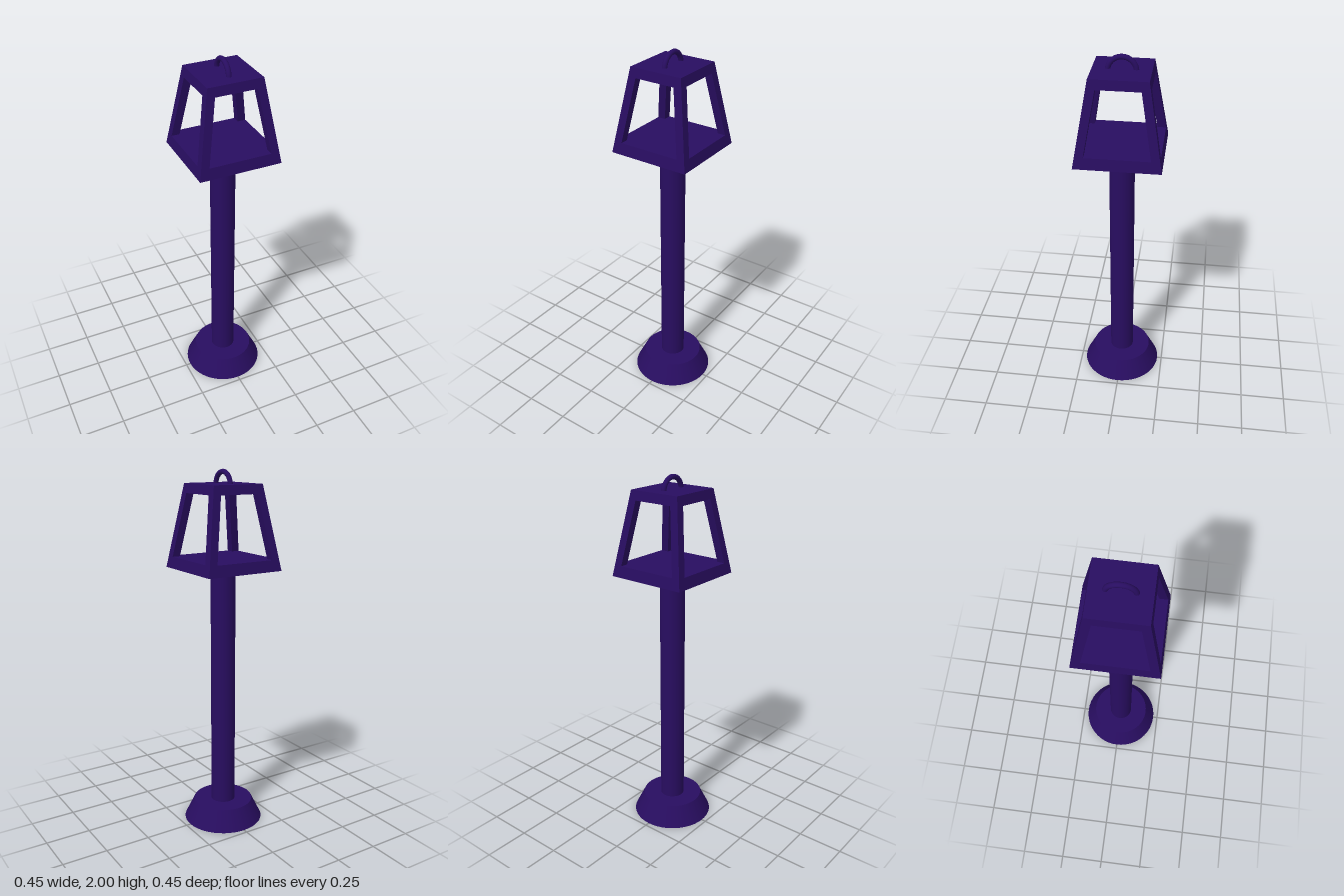
import * as THREE from 'three';

// Box running from a bottom rectangle to a top rectangle, each given as [inner, outer] for x and z
function taperedBox(y0, y1, bottom, top) {
  const geo = new THREE.BoxGeometry(1, 1, 1).toNonIndexed();
  const p = geo.attributes.position;
  for (let i = 0; i < p.count; i++) {
    const up = p.getY(i) > 0;
    const r = up ? top : bottom;
    p.setXYZ(i, p.getX(i) > 0 ? r[1] : r[0], up ? y1 : y0, p.getZ(i) > 0 ? r[1] : r[0]);
  }
  geo.computeVertexNormals();
  return geo;
}

export function createModel() {
  const model = new THREE.Group();
  model.name = 'lampPost';
  const purple = new THREE.MeshStandardMaterial({ color: 0x280d60 });
  purple.name = 'deep purple';

  const add = (name, geo, parent = model) => {
    const mesh = new THREE.Mesh(geo, purple);
    mesh.name = name;
    parent.add(mesh);
    return mesh;
  };

  // Flared round foot and pole
  add('base', new THREE.CylinderGeometry(0.168, 0.224, 0.115, 48)).position.y = 0.0575;
  add('pole', new THREE.CylinderGeometry(0.068, 0.068, 1.4, 40)).position.y = 0.79;

  // Lantern: outer half width shrinks linearly with height
  const lantern = new THREE.Group();
  lantern.name = 'lantern';
  model.add(lantern);
  const yBottom = 1.476, yFloor = 1.537, yRoof = 1.876, yTop = 1.926;
  const half = (y) => THREE.MathUtils.mapLinear(y, yBottom, yTop, 0.225, 0.149);
  const slab = (name, y0, y1) =>
    add(name, taperedBox(y0, y1, [-half(y0), half(y0)], [-half(y1), half(y1)]), lantern);
  slab('lanternFloor', yBottom, yFloor);
  slab('lanternRoof', yRoof, yTop);

  // Four leaning corner posts
  const post = taperedBox(yFloor, yRoof, [0.17, half(yFloor)], [0.1125, half(yRoof)]);
  for (let i = 0; i < 4; i++) {
    add('cornerPost', post, lantern).rotation.y = (i * Math.PI) / 2;
  }

  // Carrying loop on the roof, running front to back
  const loop = add('topLoop', new THREE.TorusGeometry(0.071, 0.0135, 16, 40, Math.PI), lantern);
  loop.rotation.y = Math.PI / 2;
  loop.position.y = 1.9155;

  return model;
}
